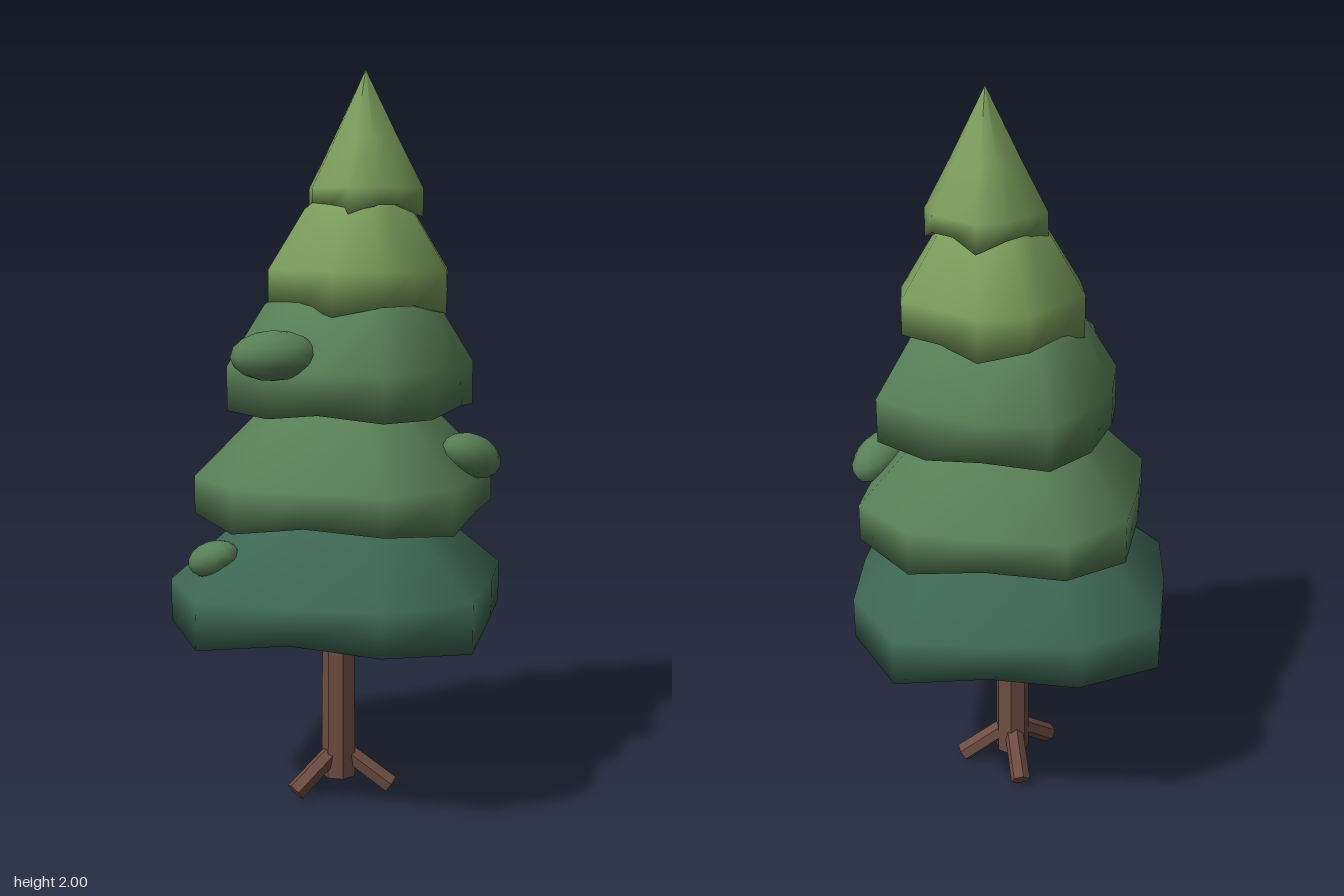
import * as THREE from 'three';

const SEG = 12;

export function createModel() {
  const mat = (name, color, extra = {}) => {
    const m = new THREE.MeshStandardMaterial({ color, ...extra });
    m.name = name;
    return m;
  };
  const bark = mat('bark brown', 0x6d4c41, { flatShading: true });
  const deep = mat('deep green', 0x3d6654);
  const mid = mat('mid green', 0x587f56);
  const light = mat('light green', 0x7b9d5c);

  const tree = new THREE.Group();
  tree.name = 'pineTree';
  const add = (name, geometry, material) => {
    const mesh = new THREE.Mesh(geometry, material);
    mesh.name = name;
    tree.add(mesh);
    return mesh;
  };

  // Smooth skin joining closed rings, from the underside centre round the rim to the top
  const skin = (rings, cx) => {
    const pos = [], index = [];
    rings.forEach((ring) => {
      for (let j = 0; j < SEG; j++) {
        const a = (j / SEG) * Math.PI * 2, [r, y] = ring(j);
        pos.push(cx + r * Math.cos(a), y, r * Math.sin(a));
      }
    });
    for (let i = 0; i < rings.length - 1; i++) {
      for (let j = 0; j < SEG; j++) {
        const k = (j + 1) % SEG;
        const a = i * SEG + j, b = i * SEG + k, c = a + SEG, d = b + SEG;
        index.push(a, c, b, b, c, d);
      }
    }
    const g = new THREE.BufferGeometry();
    g.setAttribute('position', new THREE.Float32BufferAttribute(pos, 3));
    g.setIndex(index);
    g.computeVertexNormals();
    return g;
  };

  // Foliage tiers: rim radii and heights repeat every three corners; top lists [radius, y]
  const tiers = [
    { cx: 0, r: [0.467, 0.43, 0.5], y: [0.53, 0.55, 0.515], shoulder: 0.645,
      top: [[0.275, 0.805], [0.15, 0.88], [0, 0.92]], m: deep },
    { cx: 0.02, r: [0.42, 0.368, 0.405], y: [0.825, 0.835, 0.805], shoulder: 0.925,
      top: [[0.235, 1.105], [0.13, 1.17], [0, 1.2]], m: mid },
    { cx: 0.036, r: [0.345, 0.303, 0.303], y: [1.1, 1.115, 1.095], shoulder: 1.22,
      top: [[0.24, 1.385], [0.12, 1.45], [0, 1.48]], m: mid },
    { cx: 0.055, r: [0.25, 0.243, 0.213], y: [1.385, 1.36, 1.385], shoulder: 1.475,
      top: [[0.15, 1.635], [0.08, 1.69], [0, 1.72]], m: light },
    { cx: 0.072, r: [0.146, 0.16, 0.13], y: [1.645, 1.615, 1.645], shoulder: 1.69,
      top: [[0.083, 1.82], [0, 2]], m: light },
  ];
  tiers.forEach((t, i) => {
    const base = Math.max(...t.y) + 0.01;
    const rings = [
      () => [0, base],
      (j) => [t.r[j % 3], t.y[j % 3]],
      (j) => [t.r[j % 3], t.shoulder],
      ...t.top.map(([r, y]) => (j) => [(r * t.r[j % 3]) / t.r[0], y]),
    ];
    add(`foliageTier${i + 1}`, skin(rings, t.cx), t.m);
  });

  // Trunk
  const trunk = add('trunk', new THREE.CylinderGeometry(0.046, 0.05, 0.55, 7), bark);
  trunk.position.y = 0.325;

  // Three splayed roots
  [20, 160, 282].forEach((deg) => {
    const a = THREE.MathUtils.degToRad(deg);
    const start = new THREE.Vector3(0.01 * Math.cos(a), 0.125, 0.01 * Math.sin(a));
    const end = new THREE.Vector3(0.146 * Math.cos(a), 0.026, 0.146 * Math.sin(a));
    const dir = end.clone().sub(start);
    const root = add('root', new THREE.CylinderGeometry(0.027, 0.028, dir.length(), 6), bark);
    root.position.copy(start).add(end).multiplyScalar(0.5);
    root.quaternion.setFromUnitVectors(new THREE.Vector3(0, -1, 0), dir.normalize());
  });

  // Leafy tufts: position, half sizes, rotation
  [
    [[-0.213, 1.263, 0.182], [0.112, 0.065, 0.075], [0, -0.12, 0.03]],
    [[0.325, 0.983, 0.172], [0.097, 0.058, 0.064], [0, 0.45, -0.4]],
    [[-0.37, 0.73, 0.145], [0.075, 0.047, 0.054], [0, -0.75, 0.35]],
  ].forEach(([p, s, r]) => {
    const tuft = add('leafTuft', new THREE.SphereGeometry(1, 12, 8), mid);
    tuft.position.set(...p);
    tuft.scale.set(...s);
    tuft.rotation.set(...r);
  });

  return tree;
}
